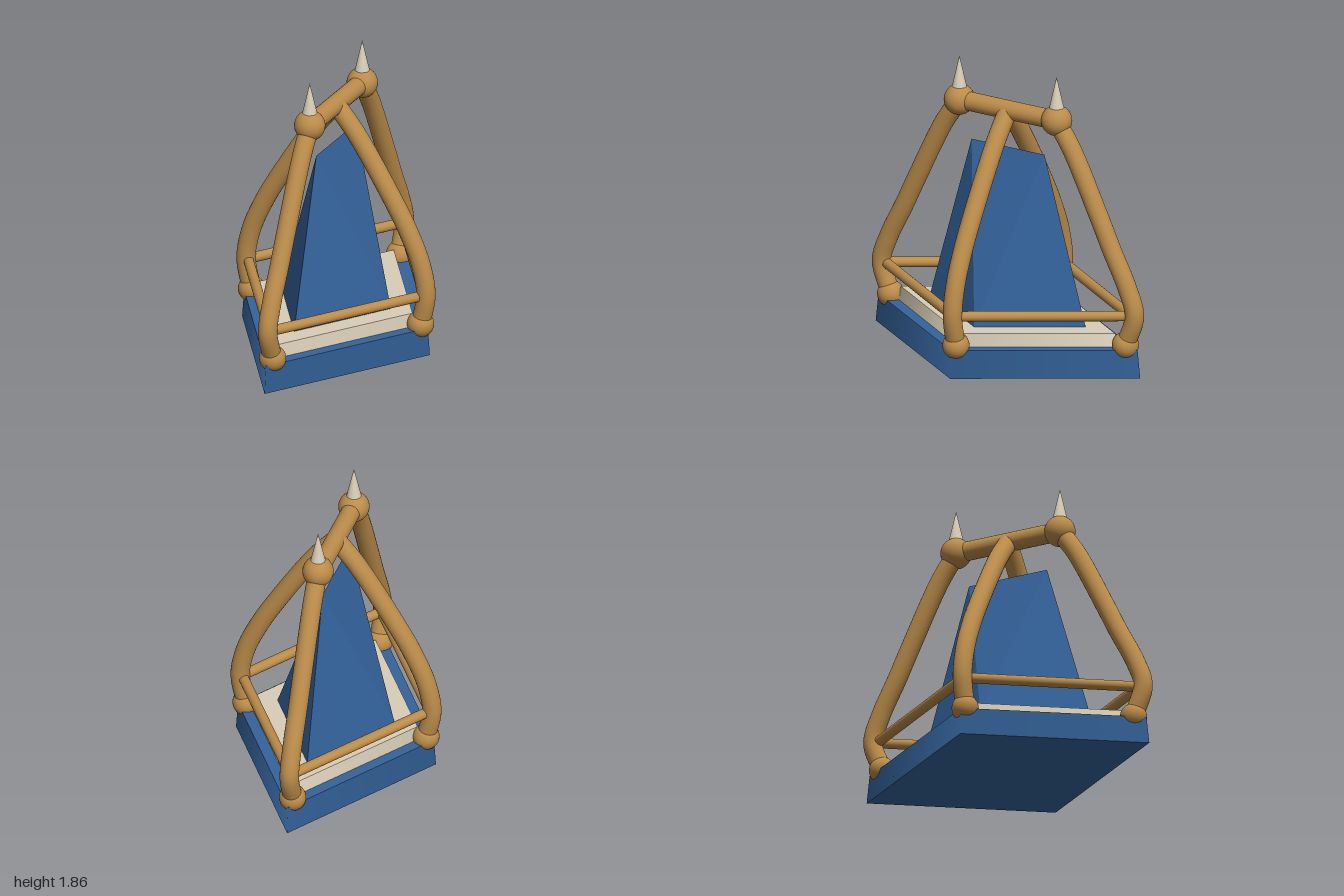
import * as THREE from 'three';
import { ConvexGeometry } from 'three/addons/geometries/ConvexGeometry.js';

const V = (x, y, z) => new THREE.Vector3(x, y, z);
const blue = new THREE.MeshStandardMaterial({ color: 0x34639b });
const blueFlat = new THREE.MeshStandardMaterial({ color: 0x34639b, flatShading: true });
const cream = new THREE.MeshStandardMaterial({ color: 0xd9ceb8 });
const wood = new THREE.MeshStandardMaterial({ color: 0xbb8c4a, side: THREE.DoubleSide });

export function createModel() {
  const model = new THREE.Group();
  model.name = 'ornamentalFrame';

  const add = (name, geometry, material, position = V(0, 0, 0)) => {
    const mesh = new THREE.Mesh(geometry, material);
    mesh.name = name;
    mesh.position.copy(position);
    model.add(mesh);
    return mesh;
  };

  // Four-sided tapered slab, stretched into a rhombus with half-widths x and z
  const slab = (name, material, x, z, taper, y0, y1) => {
    const geometry = new THREE.CylinderGeometry(taper, 1, y1 - y0, 4);
    add(name, geometry, material, V(0, (y0 + y1) / 2, 0)).scale.set(x, 1, z);
  };

  // Straight round bar between two points
  const bar = (name, a, b, radius) => {
    const dir = b.clone().sub(a);
    const geometry = new THREE.CylinderGeometry(radius, radius, dir.length(), 24);
    const mesh = add(name, geometry, wood, a.clone().lerp(b, 0.5));
    mesh.quaternion.setFromUnitVectors(V(0, 1, 0), dir.normalize());
  };

  // Stacked base
  slab('base', blue, 0.65, 0.98, 0.98, 0, 0.18);
  slab('plinth', cream, 0.555, 0.83, 0.955, 0.18, 0.26);

  // Roof-shaped core: rhombus footprint rising to a ridge along z
  add('core', new ConvexGeometry([
    V(0.38, 0.26, 0), V(-0.38, 0.26, 0), V(0, 0.26, 0.575), V(0, 0.26, -0.575),
    V(0, 1.33, 0.27), V(0, 1.33, -0.27),
  ]), blueFlat);

  // Curved arms as [distance outward, height]
  const sideArm = [[0, 1.57], [0.14, 1.4], [0.395, 1], [0.505, 0.8], [0.588, 0.6], [0.623, 0.4], [0.585, 0.2]];
  const endArm = [[0.36, 1.57], [0.475, 1.4], [0.675, 1], [0.77, 0.8], [0.885, 0.57], [0.937, 0.4], [0.87, 0.2]];
  const arm = (name, profile, dx, dz) => {
    const points = profile.map(([d, y]) => V(d * dx, y, d * dz));
    const curve = new THREE.CatmullRomCurve3(points);
    add(name, new THREE.TubeGeometry(curve, 48, 0.06, 24), wood);
    add(name + 'Foot', new THREE.SphereGeometry(0.084, 32, 20), wood, points.at(-1));
  };

  for (const s of [1, -1]) {
    arm(s > 0 ? 'leftArm' : 'rightArm', sideArm, s, 0);
    arm(s > 0 ? 'frontArm' : 'backArm', endArm, 0, s);

    // Ball and spike at each end of the ridge
    const end = s > 0 ? 'front' : 'back';
    add(end + 'Ball', new THREE.SphereGeometry(0.097, 32, 24), wood, V(0, 1.573, 0.36 * s));
    add(end + 'Spike', new THREE.ConeGeometry(0.05, 0.22, 24), cream, V(0, 1.75, 0.36 * s));

    // Lower rails joining neighbouring arms
    for (const t of [1, -1]) {
      const side = t > 0 ? 'Left' : 'Right';
      bar(end + side + 'Rail', V(0.61 * t, 0.397, 0), V(0, 0.397, 0.91 * s), 0.032);
    }
  }

  bar('ridgeBeam', V(0, 1.573, -0.36), V(0, 1.573, 0.36), 0.06);
  return model;
}
